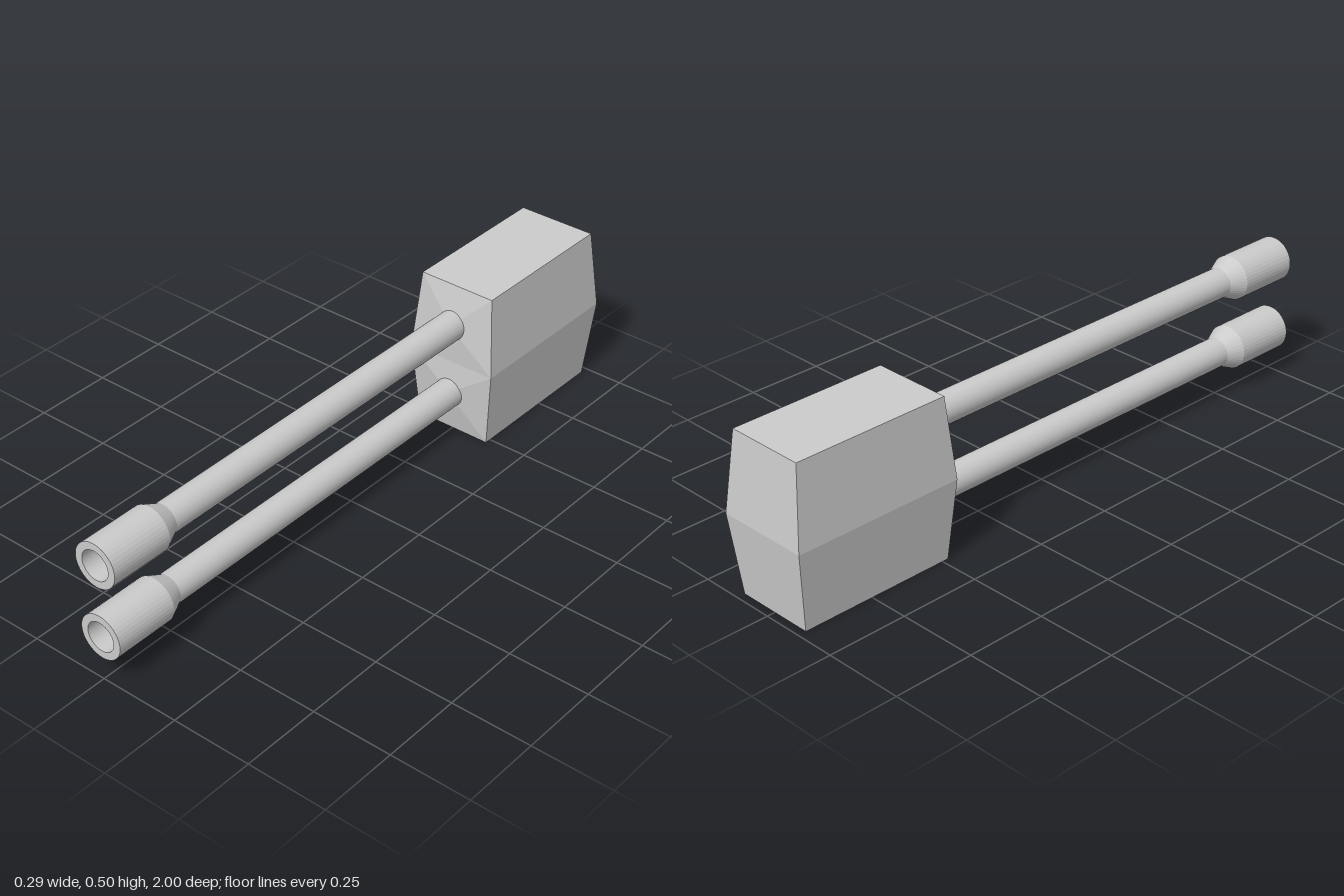
import * as THREE from 'three';

const MID_Y = 0.2475, HEIGHT = 0.495;
const BARREL_Y = [0.14, 0.372];

// Faceted block: three levels, flat back panels, front panels raised to a point at each barrel
function bodyGeometry() {
  const level = (y, w, front, back) => ({
    fl: [-w, y, front], fr: [w, y, front], bl: [-w, y, back], br: [w, y, back],
  });
  const levels = [
    level(0, 0.125, -0.48, -0.975),
    level(MID_Y, 0.147, -0.46, -1),
    level(HEIGHT, 0.125, -0.48, -0.975),
  ];
  const pos = [];
  const tri = (...corners) => corners.forEach((c) => pos.push(...c));
  const quad = (a, b, c, d) => { tri(a, b, c); tri(a, c, d); };

  for (let i = 0; i < 2; i++) {
    const lo = levels[i], hi = levels[i + 1];
    quad(lo.fr, lo.br, hi.br, hi.fr); // left side
    quad(lo.bl, lo.fl, hi.fl, hi.bl); // right side
    quad(lo.br, lo.bl, hi.bl, hi.br); // back
    // shallow front pyramid
    const apex = [0, BARREL_Y[i], -0.452];
    const ring = [lo.fl, lo.fr, hi.fr, hi.fl];
    ring.forEach((p, k) => tri(p, ring[(k + 1) % 4], apex));
  }
  const [bottom, , top] = levels;
  quad(top.fl, top.fr, top.br, top.bl);
  quad(bottom.bl, bottom.br, bottom.fr, bottom.fl);

  const geo = new THREE.BufferGeometry();
  geo.setAttribute('position', new THREE.Float32BufferAttribute(pos, 3));
  geo.computeVertexNormals();
  return geo;
}

// Slim tube with a flared, hollow muzzle, turned around the z axis
function barrelGeometry() {
  const profile = [
    [0, -0.5], [0.046, -0.5], [0.046, 0.75], [0.069, 0.8],
    [0.069, 1], [0.046, 1], [0.046, 0.8], [0, 0.8],
  ].map(([r, z]) => new THREE.Vector2(r, z));
  return new THREE.LatheGeometry(profile, 40).rotateX(Math.PI / 2);
}

export function createModel() {
  const group = new THREE.Group();
  group.name = 'twinBarrelTurret';
  const material = new THREE.MeshStandardMaterial({ color: 0xcccccc, flatShading: true });

  const body = new THREE.Mesh(bodyGeometry(), material);
  body.name = 'body';
  group.add(body);

  const barrel = barrelGeometry();
  BARREL_Y.forEach((y, i) => {
    const mesh = new THREE.Mesh(barrel, material);
    mesh.name = i ? 'upperBarrel' : 'lowerBarrel';
    mesh.position.y = y;
    group.add(mesh);
  });
  return group;
}
